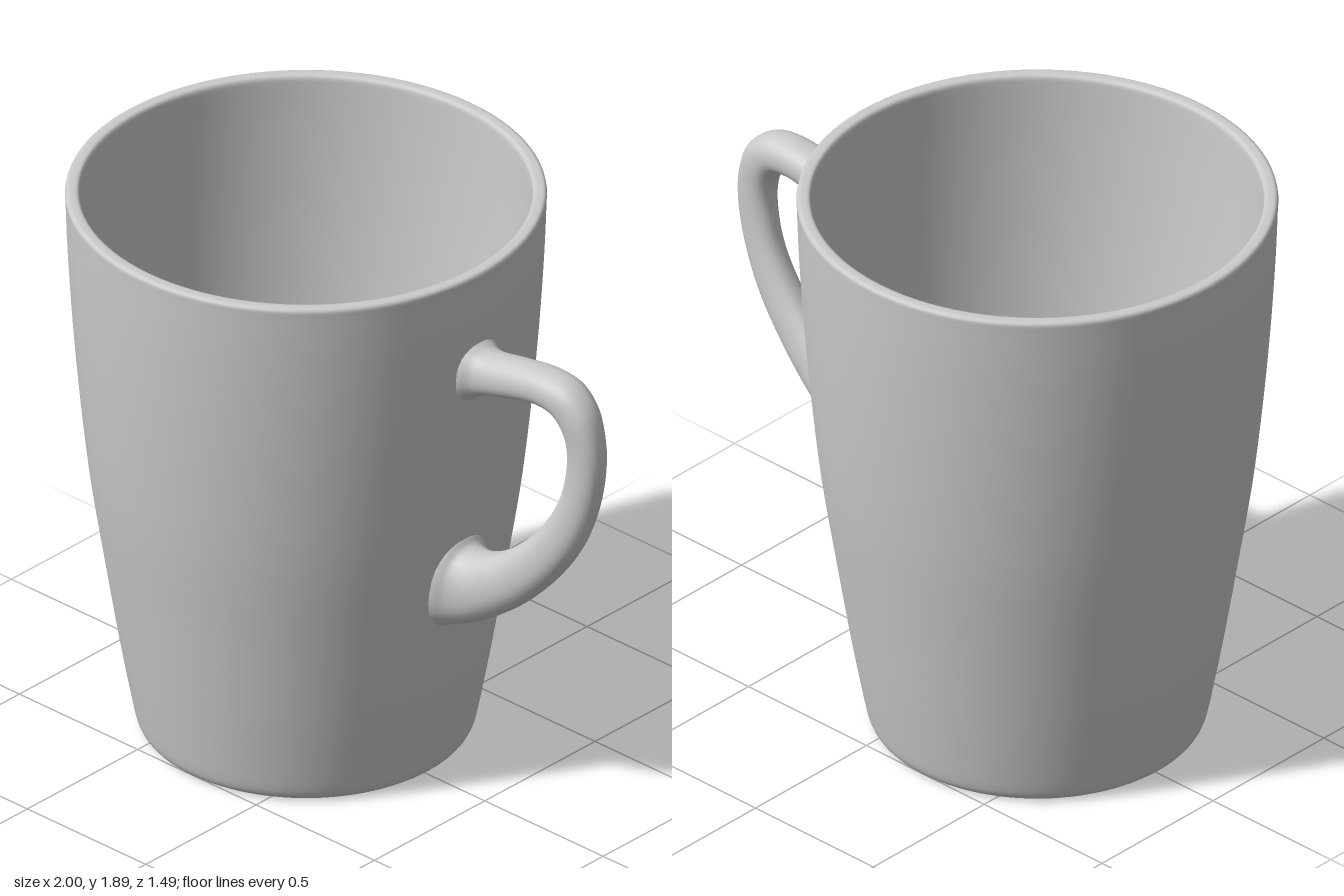
import * as THREE from 'three';

const AXIS_X = -0.255; // centre of the cup
const v2 = (p) => new THREE.Vector2(p[0], p[1]);
const smooth = (pts, n) => new THREE.SplineCurve(pts.map(v2)).getPoints(n);

// Hollow cup: underside, outer wall, rim, inner wall and floor in one profile
function cupGeometry() {
  const underside = [[0, 0], [0.3, 0], [0.485, 0], [0.5, 0.002]].map(v2);
  const foot = smooth([[0.503, 0.003], [0.517, 0.014], [0.527, 0.035], [0.535, 0.07]], 8);
  const outer = smooth([[0.538, 0.085], [0.577, 0.3], [0.622, 0.58], [0.668, 0.88],
    [0.698, 1.15], [0.721, 1.42], [0.737, 1.68], [0.744, 1.865]], 28);
  const rim = [[0.745, 1.873], [0.743, 1.881], [0.737, 1.885], [0.73, 1.886],
    [0.715, 1.886], [0.708, 1.885], [0.702, 1.881], [0.7, 1.873]].map(v2);
  const inner = smooth([[0.699, 1.865], [0.691, 1.68], [0.675, 1.42], [0.652, 1.15],
    [0.622, 0.88], [0.576, 0.58], [0.535, 0.32], [0.515, 0.19]], 28);
  const floor = smooth([[0.51, 0.165], [0.497, 0.125], [0.47, 0.095], [0.43, 0.082], [0.4, 0.08]], 10);
  const profile = [...underside, ...foot, ...outer, ...rim, ...inner, ...floor, v2([0.3, 0.08]), v2([0, 0.08])];
  return new THREE.LatheGeometry(profile, 96);
}

// Handle sections: outer edge x, y, inner edge x, y, half width in z
const SECTIONS = [
  [0.455, 1.65, 0.44, 1.385, 0.105],
  [0.482, 1.628, 0.468, 1.43, 0.092],
  [0.52, 1.614, 0.505, 1.457, 0.075],
  [0.64, 1.632, 0.62, 1.495, 0.07],
  [0.78, 1.648, 0.755, 1.526, 0.07],
  [0.88, 1.632, 0.825, 1.512, 0.068],
  [0.953, 1.57, 0.858, 1.466, 0.062],
  [0.99, 1.468, 0.868, 1.41, 0.055],
  [0.996, 1.36, 0.862, 1.335, 0.051],
  [0.969, 1.215, 0.835, 1.23, 0.05],
  [0.9, 1.05, 0.768, 1.108, 0.055],
  [0.78, 0.885, 0.668, 0.995, 0.064],
  [0.64, 0.748, 0.56, 0.912, 0.077],
  [0.5, 0.65, 0.475, 0.879, 0.092],
  [0.415, 0.608, 0.435, 0.883, 0.106],
  [0.375, 0.59, 0.414, 0.905, 0.12],
  [0.34, 0.565, 0.385, 0.935, 0.13],
];

// Sweeps a rounded section between the two edge curves
function handleGeometry() {
  const curve = (pick) => new THREE.CatmullRomCurve3(SECTIONS.map(pick), false, 'centripetal');
  const outerEdge = curve((s) => new THREE.Vector3(s[0], s[1], s[4]));
  const innerEdge = curve((s) => new THREE.Vector3(s[2], s[3], s[4]));
  const rows = 96, sides = 28;
  const positions = [], index = [];
  for (let i = 0; i <= rows; i++) {
    const o = outerEdge.getPoint(i / rows), n = innerEdge.getPoint(i / rows);
    const width = (o.z + n.z) / 2;
    for (let j = 0; j < sides; j++) {
      const a = (j / sides) * Math.PI * 2;
      const soften = (t) => Math.sign(t) * Math.abs(t) ** 0.88;
      const c = soften(Math.cos(a)), s = soften(Math.sin(a));
      positions.push((o.x + n.x) / 2 + (c * (o.x - n.x)) / 2,
        (o.y + n.y) / 2 + (c * (o.y - n.y)) / 2, s * width);
      if (i === rows) continue;
      const p = i * sides + j, q = i * sides + ((j + 1) % sides);
      index.push(p, q, p + sides, q, q + sides, p + sides);
    }
  }
  const geometry = new THREE.BufferGeometry();
  geometry.setAttribute('position', new THREE.Float32BufferAttribute(positions, 3));
  geometry.setIndex(index);
  geometry.computeVertexNormals();
  return geometry;
}

export function createModel() {
  const group = new THREE.Group();
  group.name = 'mug';
  const material = new THREE.MeshStandardMaterial({ color: 0xcccccc });

  const cup = new THREE.Mesh(cupGeometry(), material);
  cup.name = 'cup';
  cup.position.x = AXIS_X;

  // Handle ends are buried in the cup wall
  const handle = new THREE.Mesh(handleGeometry(), material);
  handle.name = 'handle';

  group.add(cup, handle);
  return group;
}
